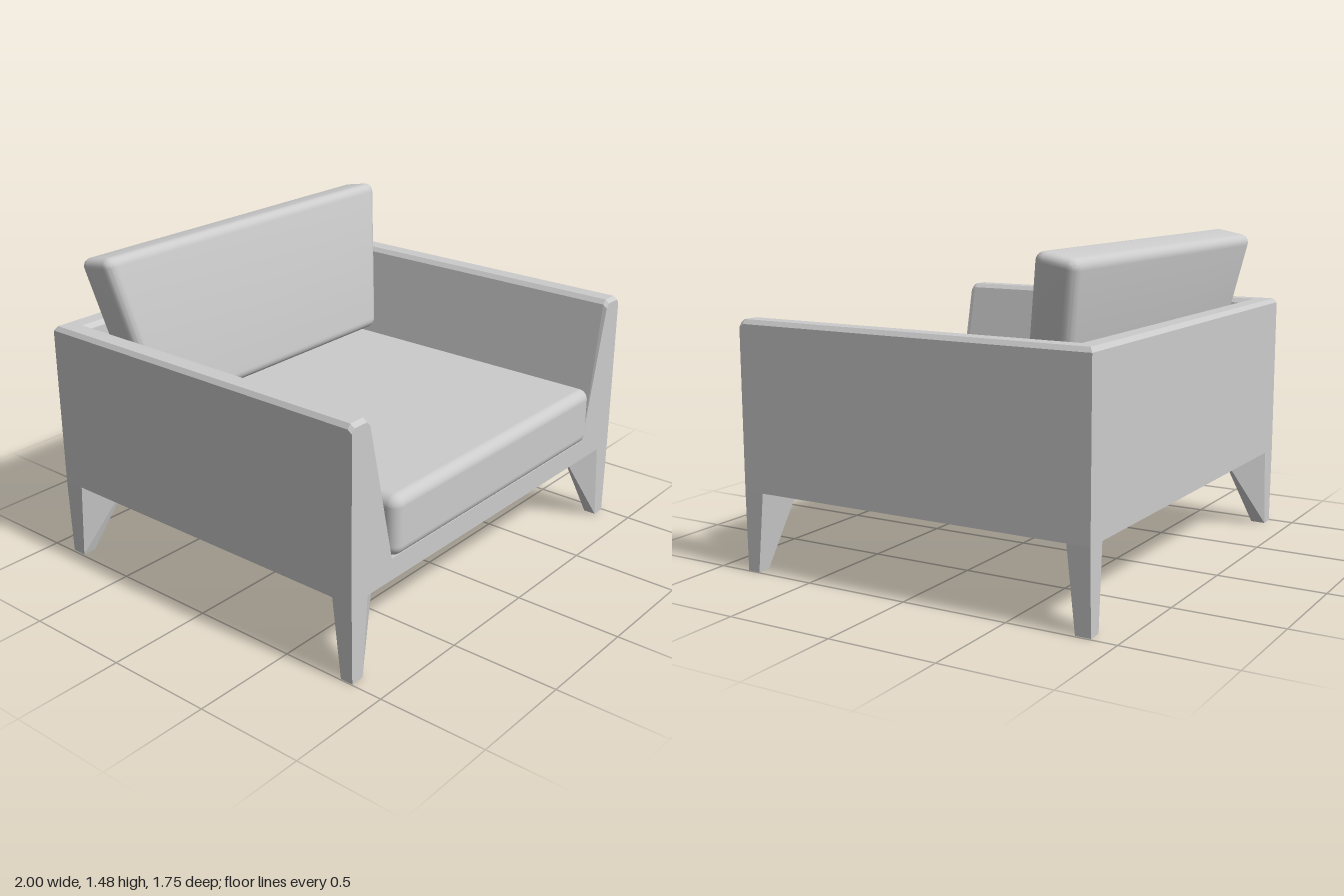
import * as THREE from 'three';
import { toCreasedNormals } from 'three/addons/utils/BufferGeometryUtils.js';
import { RoundedBoxGeometry } from 'three/addons/geometries/RoundedBoxGeometry.js';
import { ConvexGeometry } from 'three/addons/geometries/ConvexGeometry.js';

const FRONT = 0.85, BACK = -0.88, RAIL = 0.37;

// Wall section: inset on the sides, inset at the back, height
const WALL = [
  [0, 0, RAIL], [0, 0, 1.12], [0.015, 0.015, 1.14], [0.09, 0.09, 1.14],
  [0.11, 0.11, 1.12], [0.255, 0.165, 0.47], [0.26, 0.165, RAIL],
];

// Arms and back as one mitred U-shaped sweep, open at the front
function wallGeometry() {
  const arm = (s, z, drop) => WALL.map(([dx, , y]) => [s * (1 - dx), y > 1.1 ? y - drop : y, z]);
  const corner = (s) => WALL.map(([dx, dz, y]) => [s * (1 - dx), y, BACK + dz]);
  const rings = [
    arm(-1, FRONT, 0.015), arm(-1, FRONT - 0.02, 0), corner(-1),
    corner(1), arm(1, FRONT - 0.02, 0), arm(1, FRONT, 0.015),
  ];
  const n = WALL.length, last = (rings.length - 1) * n, index = [];
  for (let i = 0; i < rings.length - 1; i++) {
    for (let j = 0; j < n; j++) {
      const a = i * n + j, b = i * n + (j + 1) % n;
      index.push(a, b, b + n, a, b + n, a + n);
    }
  }
  for (let j = 1; j < n - 1; j++) {
    index.push(0, j + 1, j, last, last + j, last + j + 1);
  }
  const indexed = new THREE.BufferGeometry();
  indexed.setAttribute('position', new THREE.Float32BufferAttribute(rings.flat(2), 3));
  indexed.setIndex(index);
  const geometry = indexed.toNonIndexed();
  geometry.computeVertexNormals();
  return geometry;
}

// Tapered corner leg; s is the side, the rest are [x, z] corners
function legGeometry(s, top, foot) {
  const points = [[top, RAIL], [foot, 0]].flatMap(([ring, y]) =>
    ring.map(([x, z]) => new THREE.Vector3(s * x, y, z)));
  return new ConvexGeometry(points);
}

// Back cushion, wider at the top
function backCushionGeometry(height) {
  const geometry = new RoundedBoxGeometry(1.7, height, 0.2, 4, 0.045);
  const p = geometry.attributes.position;
  for (let i = 0; i < p.count; i++) {
    const t = p.getY(i) / height + 0.5;
    p.setX(i, p.getX(i) / 0.85 * THREE.MathUtils.lerp(0.775, 0.925, t));
  }
  return toCreasedNormals(geometry, 0.6);
}

export function createModel() {
  const group = new THREE.Group();
  const material = new THREE.MeshStandardMaterial({ color: 0xcccccc });
  const add = (name, geometry, x = 0, y = 0, z = 0) => {
    const mesh = new THREE.Mesh(geometry, material);
    mesh.name = name;
    mesh.position.set(x, y, z);
    group.add(mesh);
    return mesh;
  };

  // Frame with a recessed underside
  add('armsAndBack', wallGeometry());
  add('frontRail', new THREE.BoxGeometry(1.49, 0.1, 0.1), 0, 0.42, 0.8);
  add('seatBase', new THREE.BoxGeometry(1.49, 0.02, 1.48), 0, 0.459, 0.02);

  // Legs
  for (const [side, s] of [['left', 1], ['right', -1]]) {
    add(side + 'FrontLeg', legGeometry(s,
      [[1, 0.85], [0.9, 0.85], [0.74, 0.75], [1, 0.75]],
      [[0.995, 0.85], [0.93, 0.85], [0.93, 0.79], [0.995, 0.79]]));
    add(side + 'BackLeg', legGeometry(s,
      [[1, -0.88], [0.9, -0.88], [0.74, -0.715], [1, -0.775]],
      [[0.99, -0.88], [0.925, -0.88], [0.925, -0.81], [0.99, -0.81]]));
  }

  // Cushions
  add('seatCushion', new RoundedBoxGeometry(1.51, 0.275, 1.55, 4, 0.05), 0, 0.607, 0.1);
  const back = add('backCushion', backCushionGeometry(0.74), 0, 1.107, -0.605);
  back.rotation.x = -0.19;
  return group;
}
